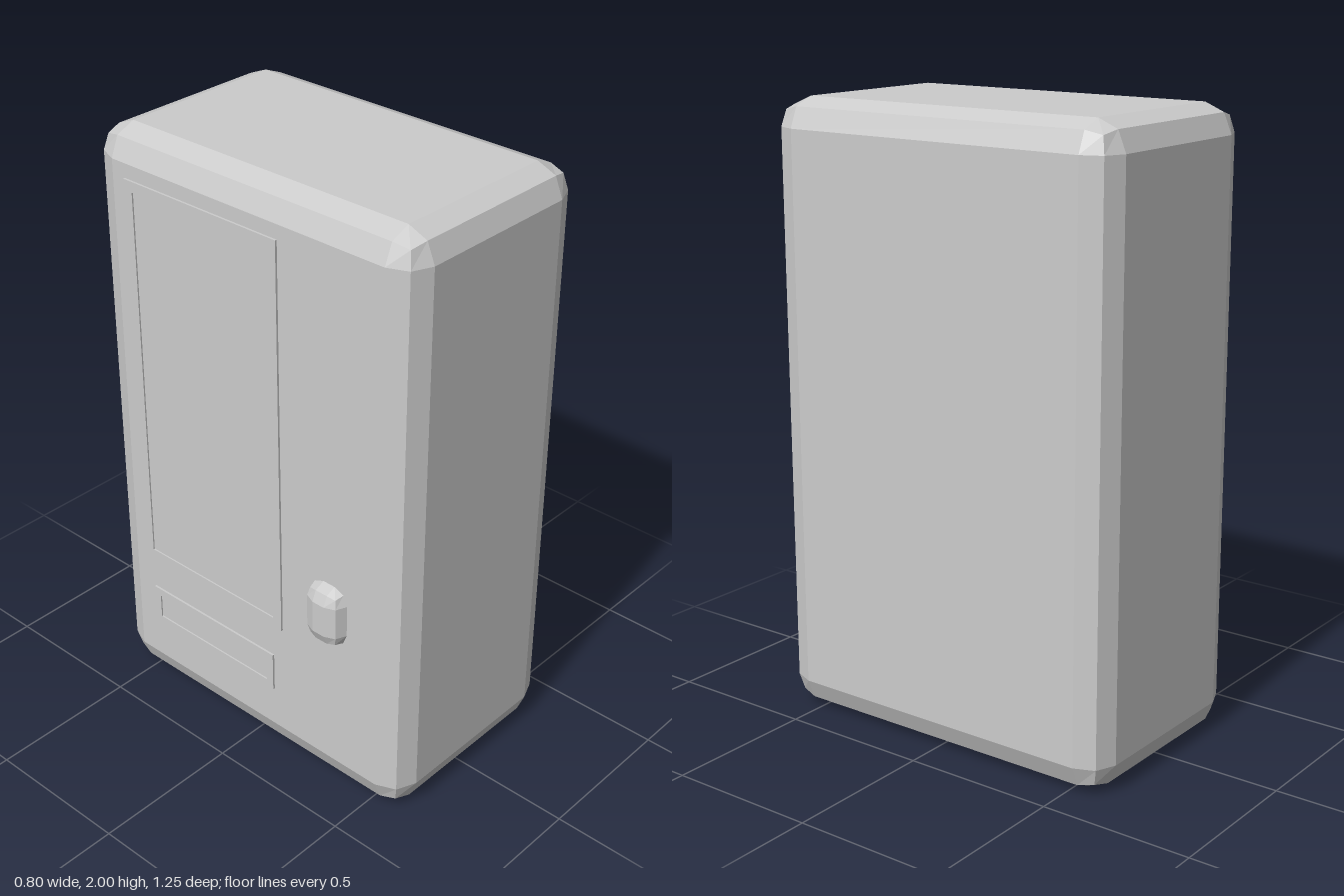
import * as THREE from 'three';
import { RoundedBoxGeometry } from 'three/addons/geometries/RoundedBoxGeometry.js';

const material = new THREE.MeshStandardMaterial({ color: 0xcccccc, flatShading: true });
const SIDE_X = -0.35; // the side carrying the window, slot and coin box

function add(parent, name, geometry, x, y, z) {
  const mesh = new THREE.Mesh(geometry, material);
  mesh.name = name;
  mesh.position.set(x, y, z);
  parent.add(mesh);
  return mesh;
}

// Thin raised rectangular frame with a slightly recessed panel, facing -x
function framedPanel(name, z0, z1, y0, y1, border) {
  const group = new THREE.Group();
  group.name = name;
  const w = z1 - z0, h = y1 - y0, depth = 0.017;
  const rect = (path, hw, hh) => path.moveTo(-hw, -hh).lineTo(hw, -hh).lineTo(hw, hh).lineTo(-hw, hh).closePath();
  const shape = rect(new THREE.Shape(), w / 2, h / 2);
  shape.holes.push(rect(new THREE.Path(), w / 2 - border, h / 2 - border));
  const frame = new THREE.ExtrudeGeometry(shape, { depth, bevelEnabled: false });
  frame.rotateY(-Math.PI / 2);
  add(group, name + 'Frame', frame, 0.01, 0, 0);
  add(group, name + 'Pane', new THREE.BoxGeometry(0.012, h - border, w - border), 0.004, 0, 0);
  group.position.set(SIDE_X, (y0 + y1) / 2, (z0 + z1) / 2);
  return group;
}

export function createModel() {
  const model = new THREE.Group();
  model.name = 'vendingMachine';

  // Cabinet with two-step bevelled edges
  add(model, 'cabinet', new RoundedBoxGeometry(0.75, 2, 1.25, 1, 0.093), 0.025, 1, 0);

  // Display window and dispensing slot
  model.add(framedPanel('displayWindow', -0.48, 0.14, 0.5, 1.86, 0.035));
  model.add(framedPanel('dispensingSlot', -0.45, 0.1, 0.24, 0.38, 0.027));

  // Coin box half sunk into the side
  add(model, 'coinBox', new RoundedBoxGeometry(0.1, 0.21, 0.145, 1, 0.05), SIDE_X, 0.675, 0.337);

  return model;
}
